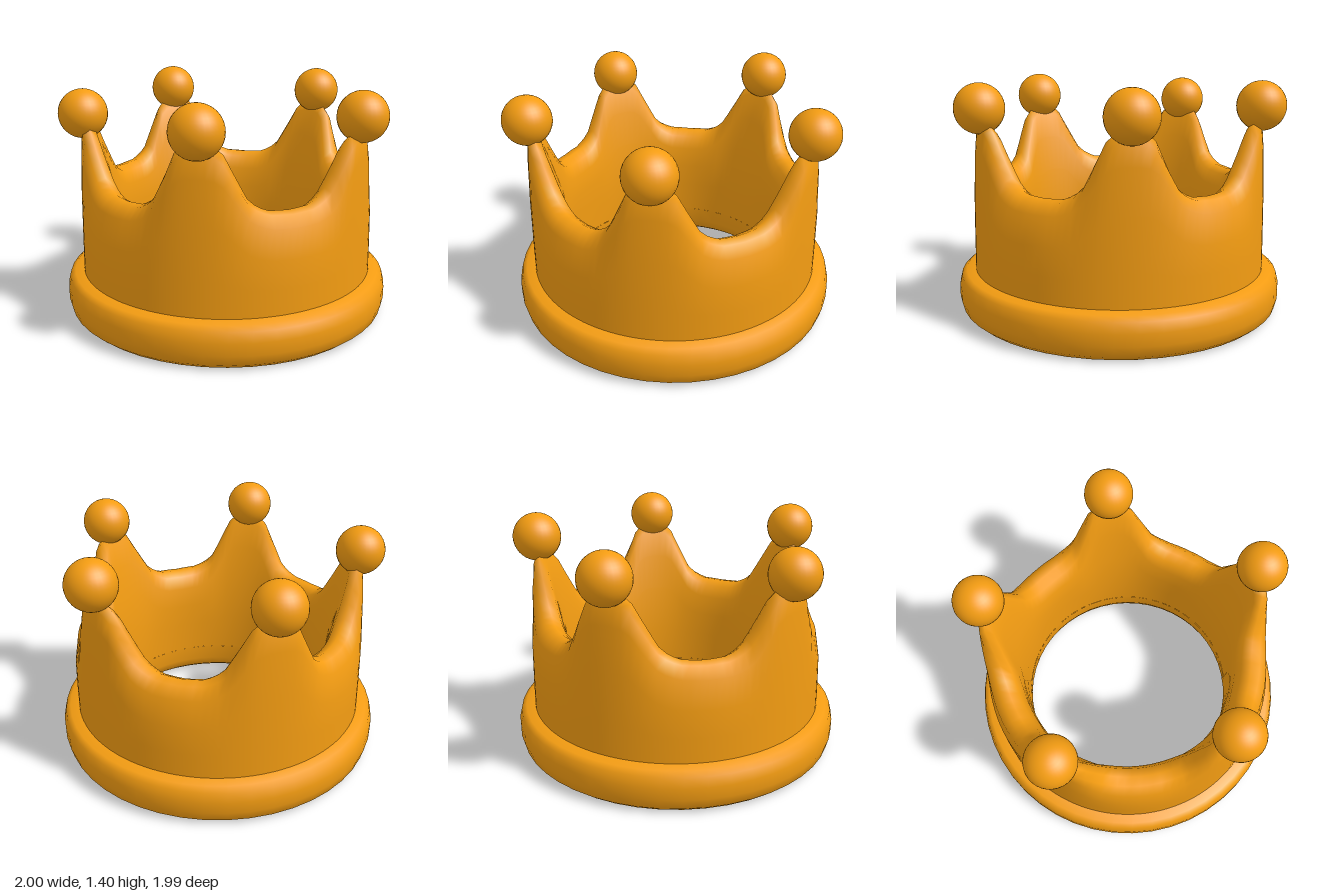
import * as THREE from 'three';

const material = new THREE.MeshStandardMaterial({ color: 0xf39c12, side: THREE.DoubleSide });
const PEAKS = 5;

// Wall cross-sections [radius, height], outer foot -> rim -> inner foot
const VALLEY = [[0.895, 0.23], [0.893, 0.4], [0.888, 0.56], [0.86, 0.72], [0.81, 0.78], [0.755, 0.79],
  [0.70, 0.76], [0.67, 0.68], [0.66, 0.55], [0.66, 0.4], [0.665, 0.2]];
const PEAK = [[0.895, 0.23], [0.892, 0.45], [0.886, 0.75], [0.875, 1.0], [0.865, 1.12], [0.83, 1.17],
  [0.785, 1.12], [0.745, 0.96], [0.69, 0.74], [0.66, 0.45], [0.665, 0.2]];

// Rim rise (0 valley .. 1 peak) against degrees from the nearest peak
const RISE = [[0, 1], [5, 0.99], [8.5, 0.9], [13.4, 0.53], [18, 0.22], [22, 0.09], [27, 0.02], [36, 0]];

function rise(deg) {
  const d = Math.abs(((deg % 72) + 72) % 72 - 36); // peaks stand at 36 + 72n degrees
  const i = RISE.findIndex((p, k) => k > 0 && d <= p[0] + 1e-6);
  const [a, b] = [RISE[i - 1], RISE[i]];
  return a[1] + (b[1] - a[1]) * (d - a[0]) / (b[0] - a[0]);
}

// Wall: section blended between valley and peak around the circle
function wallGeometry() {
  const segments = 120, n = VALLEY.length, positions = [], index = [];
  for (let i = 0; i < segments; i++) {
    const deg = i * 360 / segments, a = THREE.MathUtils.degToRad(deg), t = rise(deg);
    for (let j = 0; j < n; j++) {
      const r = THREE.MathUtils.lerp(VALLEY[j][0], PEAK[j][0], t);
      const y = THREE.MathUtils.lerp(VALLEY[j][1], PEAK[j][1], t);
      positions.push(r * Math.cos(a), y, r * Math.sin(a));
      if (j < n - 1) {
        const p = i * n + j, q = ((i + 1) % segments) * n + j;
        index.push(p, p + 1, q, p + 1, q + 1, q);
      }
    }
  }
  const g = new THREE.BufferGeometry();
  g.setAttribute('position', new THREE.Float32BufferAttribute(positions, 3));
  g.setIndex(index);
  g.computeVertexNormals();
  return g;
}

export function createModel() {
  const crown = new THREE.Group();
  crown.name = 'crown';
  const add = (name, geometry) => {
    const mesh = new THREE.Mesh(geometry, material);
    mesh.name = name;
    crown.add(mesh);
    return mesh;
  };

  // Rounded base band, inner wall -> underside -> outer bulge -> top
  const profile = [[0.665, 0.2], [0.67, 0.1], [0.69, 0.04], [0.74, 0.005], [0.82, 0], [0.945, 0], [0.98, 0.03],
    [0.995, 0.09], [0.995, 0.16], [0.98, 0.22], [0.95, 0.245], [0.885, 0.255]];
  add('baseBand', new THREE.LatheGeometry(profile.map(p => new THREE.Vector2(...p)), 48));

  add('pointedWall', wallGeometry());

  // Balls on the five points
  const ballHeights = [1.24, 1.24, 1.21, 1.245, 1.25];
  for (let i = 0; i < PEAKS; i++) {
    const a = (i + 0.5) * 2 * Math.PI / PEAKS;
    const ball = add('ball' + (i + 1), new THREE.SphereGeometry(0.146, 32, 20));
    ball.position.set(0.855 * Math.cos(a), ballHeights[i], 0.855 * Math.sin(a));
  }
  return crown;
}
